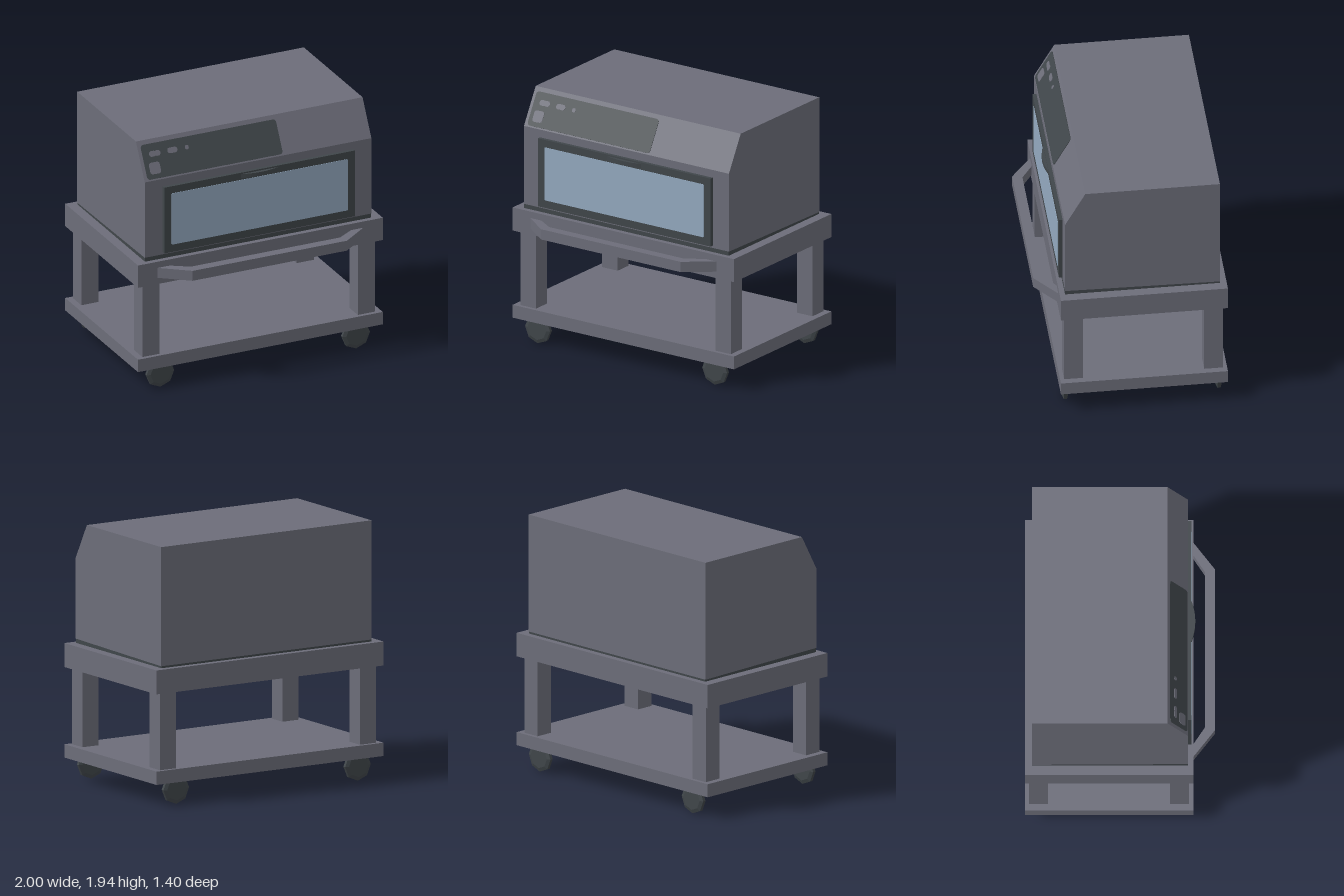
import * as THREE from 'three';

const flat = (name, color, extra = {}) => {
  const m = new THREE.MeshStandardMaterial({ color, ...extra });
  m.name = name;
  return m;
};

export function createModel() {
  const model = new THREE.Group();
  model.name = 'ovenOnTrolley';
  const grey = flat('slateGrey', 0x6c6d79);
  const greySheet = flat('slateGreySheet', 0x6c6d79, { side: THREE.DoubleSide });
  const dark = flat('charcoal', 0x40464a);
  const glass = flat('paleBlueGlass', 0x94aac0);

  const add = (name, geometry, material, parent = model) => {
    const mesh = new THREE.Mesh(geometry, material);
    mesh.name = name;
    parent.add(mesh);
    return mesh;
  };
  // Box given by its limits on each axis
  const box = (x0, x1, y0, y1, z0, z1) =>
    new THREE.BoxGeometry(x1 - x0, y1 - y0, z1 - z0)
      .translate((x0 + x1) / 2, (y0 + y1) / 2, (z0 + z1) / 2);
  // Side profile of [z, y] points, extruded across the width
  const acrossWidth = (points, halfWidth) => {
    const shape = new THREE.Shape(points.map(([z, y]) => new THREE.Vector2(-z, y)));
    return new THREE.ExtrudeGeometry(shape, { depth: 2 * halfWidth, bevelEnabled: false })
      .rotateY(Math.PI / 2).translate(-halfWidth, 0, 0);
  };
  // Plan outline of [x, z] points, extruded upwards
  const upFromPlan = (points, y, height) => {
    const shape = new THREE.Shape(points.map(([x, z]) => new THREE.Vector2(x, -z)));
    return new THREE.ExtrudeGeometry(shape, { depth: height, bevelEnabled: false })
      .rotateX(-Math.PI / 2).translate(0, y, 0);
  };
  // Thin plate with rounded corners
  const plate = (x0, x1, y0, y1, r, depth) => {
    const s = new THREE.Shape();
    s.moveTo(x0 + r, y0);
    s.lineTo(x1 - r, y0).absarc(x1 - r, y0 + r, r, -Math.PI / 2, 0);
    s.lineTo(x1, y1 - r).absarc(x1 - r, y1 - r, r, 0, Math.PI / 2);
    s.lineTo(x0 + r, y1).absarc(x0 + r, y1 - r, r, Math.PI / 2, Math.PI);
    s.lineTo(x0, y0 + r).absarc(x0 + r, y0 + r, r, Math.PI, Math.PI * 1.5);
    return new THREE.ExtrudeGeometry(s, { depth, bevelEnabled: false, curveSegments: 6 });
  };
  // Folded tray: a box with its underside left open
  const tray = (y0, y1) => {
    const g = box(-1, 1, y0, y1, -0.7, 0.54);
    const index = Array.from(g.index.array);
    index.splice(18, 6);
    g.setIndex(index);
    g.clearGroups();
    return g;
  };

  // Trolley
  add('tableTop', tray(0.85, 1.03), greySheet);
  add('lowerShelf', tray(0.17, 0.27), greySheet);
  for (const side of [-1, 1]) {
    for (const [z0, z1] of [[0.37, 0.51], [-0.67, -0.53]]) {
      const leg = add('leg', box(-0.07, 0.07, 0.255, 1.025, z0, z1), grey);
      leg.position.x = side * 0.88;
    }
  }

  // Push handle
  add('pushHandle', upFromPlan([
    [-0.84, 0.54], [-0.63, 0.7], [0.63, 0.7], [0.84, 0.54],
    [0.74, 0.54], [0.61, 0.625], [-0.61, 0.625], [-0.74, 0.54],
  ], 0.9, 0.08), grey);

  // Eight-sided wheels with chamfered rims
  const wheelProfile = [[0, -0.022], [0.085, -0.022], [0.113, -0.012],
    [0.113, 0.012], [0.085, 0.022], [0, 0.022]].map(([r, h]) => new THREE.Vector2(r, h));
  const wheelGeometry = new THREE.LatheGeometry(wheelProfile, 8).rotateX(Math.PI / 2).toNonIndexed();
  wheelGeometry.computeVertexNormals();
  for (const x of [-0.8, 0.8]) {
    for (const z of [0.492, -0.648]) {
      add('wheel', wheelGeometry, dark).position.set(x, 0.113, z);
    }
  }

  // Oven body on a tapering plinth
  add('plinth', acrossWidth([[0.5, 1.03], [0.5, 1.062], [-0.65, 1.045], [-0.65, 1.03]], 0.924), dark);
  add('ovenBody', acrossWidth([
    [0.5, 1.062], [0.5, 1.67], [0.35, 1.94], [-0.65, 1.94], [-0.65, 1.045],
  ], 0.926), grey);

  // Door
  const door = new THREE.Group();
  door.name = 'door';
  model.add(door);
  add('doorFrame', box(-0.78, 0.78, 1.08, 1.61, 0.5, 0.528), dark, door);
  add('doorWindow', plate(-0.72, 0.72, 1.14, 1.553, 0.01, 0.004).translate(0, 0, 0.527), glass, door);
  const bow = [];
  for (let i = 0; i <= 8; i++) {
    const t = -1 + i / 4;
    bow.push([0.16 * t, 0.526 + 0.029 * (1 - t * t)]);
  }
  add('doorHandle', upFromPlan(bow, 1.567, 0.032), dark, door);

  // Control panel on the sloping front
  const panel = new THREE.Group();
  panel.name = 'controlPanel';
  panel.position.set(0, 1.67, 0.5);
  panel.rotation.x = -Math.atan2(0.15, 0.27);
  model.add(panel);
  const up = (y) => (y - 1.67) / 0.874;
  add('panelPlate', plate(-0.9, 0.205, up(1.68), up(1.91), 0.025, 0.004), dark, panel);
  const buttons = [
    [-0.847, -0.79, 1.823, 1.86, 0.02], [-0.805, -0.755, 1.823, 1.86, 0.02],
    [-0.697, -0.617, 1.823, 1.86, 0.02], [-0.553, -0.525, 1.827, 1.855, 0.012],
    [-0.867, -0.78, 1.71, 1.787, 0.02],
  ];
  for (const [x0, x1, y0, y1, r] of buttons) {
    add('button', plate(x0, x1, up(y0), up(y1), r, 0.007), grey, panel);
  }
  return model;
}
